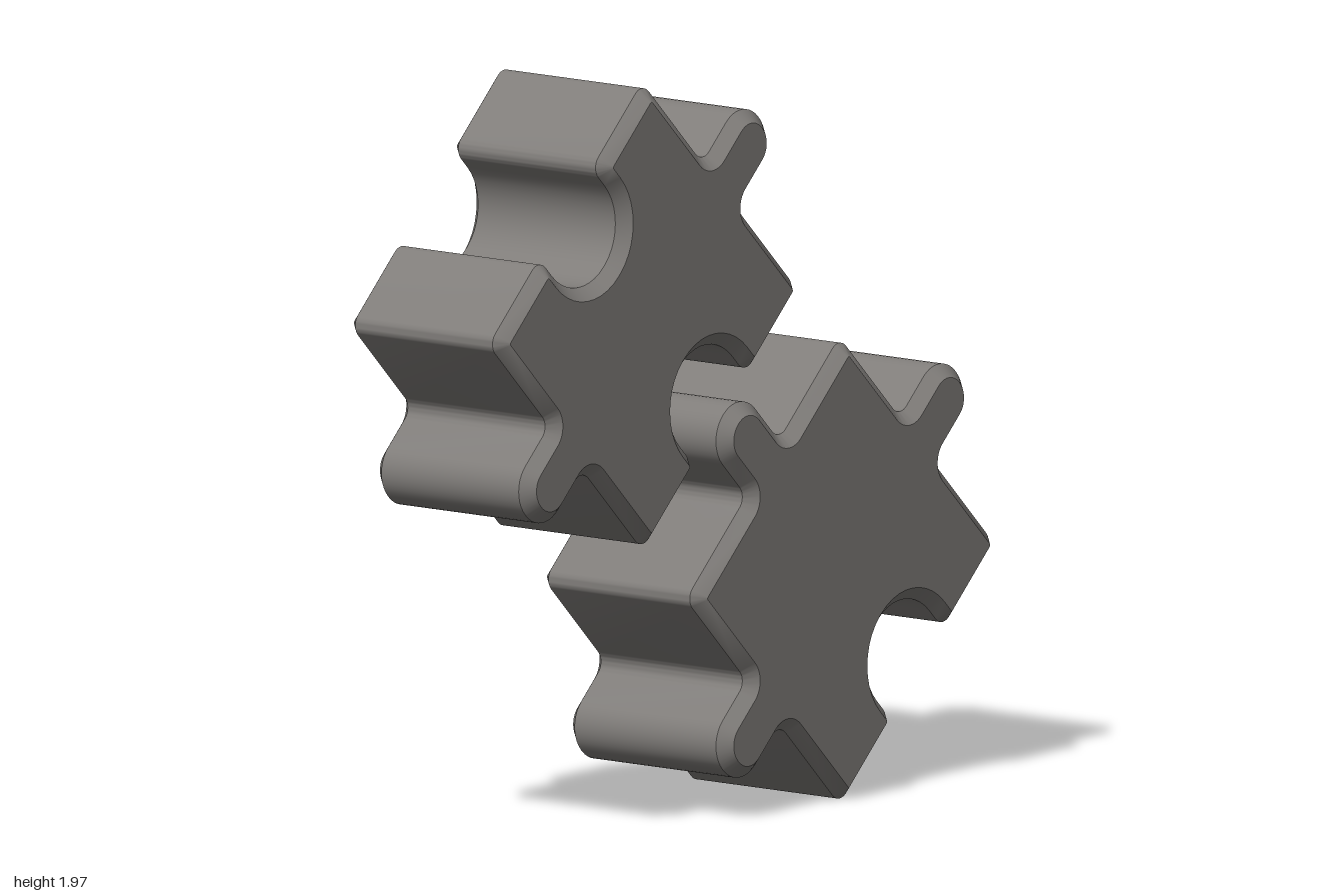
import * as THREE from 'three';
import { toCreasedNormals } from 'three/addons/utils/BufferGeometryUtils.js';

const HALF = 0.437;    // half the side of the square body
const CORNER = 0.038;  // rounding of the outline corners
const BEVEL = 0.033;   // chamfer around the front and back faces

// Corners of one side facing +y, running right to left: [x, y, radius]
function sidePoints(kind) {
  const half = kind === 'tab' ? 0.093 : 0.15;
  const end = kind === 'tab' ? 0.663 : 0.215;
  const round = half - 0.002;
  return [
    [HALF, HALF, CORNER],
    [half, HALF, CORNER],
    [half, end, round],
    [-half, end, round],
    [-half, HALF, CORNER],
  ];
}

// Outline with every right-angled corner turned into a quarter circle
function pieceShape(kinds) {
  const corners = [];
  kinds.forEach((kind, k) => {
    for (const [x, y, r] of sidePoints(kind)) {
      const p = new THREE.Vector2(x, y).rotateAround(new THREE.Vector2(), Math.PI / 4 + k * Math.PI / 2);
      corners.push({ p, r });
    }
  });
  const shape = new THREE.Shape();
  const n = corners.length;
  const towards = (from, to, d) => to.clone().sub(from).setLength(d).add(from);
  corners.forEach(({ p, r }, i) => {
    const prev = corners[(i + n - 1) % n].p;
    const next = corners[(i + 1) % n].p;
    const start = towards(p, prev, r);
    const stop = towards(p, next, r);
    const c1 = towards(p, prev, r * 0.448);
    const c2 = towards(p, next, r * 0.448);
    if (i === 0) shape.moveTo(start.x, start.y);
    else shape.lineTo(start.x, start.y);
    shape.bezierCurveTo(c1.x, c1.y, c2.x, c2.y, stop.x, stop.y);
  });
  shape.closePath();
  return shape;
}

// Thick jigsaw piece with chamfered faces, centred on its own origin
function makePiece(name, kinds, thickness, material) {
  const depth = thickness - 2 * BEVEL;
  const geometry = new THREE.ExtrudeGeometry(pieceShape(kinds), {
    depth,
    curveSegments: 10,
    bevelEnabled: true,
    bevelSegments: 1,
    bevelThickness: BEVEL,
    bevelSize: BEVEL,
    bevelOffset: -BEVEL,
  });
  geometry.translate(0, 0, -depth / 2);
  const mesh = new THREE.Mesh(toCreasedNormals(geometry, 0.6), material);
  mesh.name = name;
  return mesh;
}

export function createModel() {
  const model = new THREE.Group();
  model.name = 'puzzlePieces';
  const grey = new THREE.MeshStandardMaterial({ color: 0x807d7a });
  grey.name = 'warm grey';

  // Sides in order: upper left, lower left, lower right, upper right
  const upper = makePiece('upperPuzzlePiece', ['notch', 'tab', 'notch', 'tab'], 0.536, grey);
  upper.position.set(-0.393, 1.375, -0.003);

  const lower = makePiece('lowerPuzzlePiece', ['tab', 'tab', 'notch', 'tab'], 0.55, grey);
  lower.position.set(0.39, 0.606, 0);

  model.add(upper, lower);
  return model;
}
